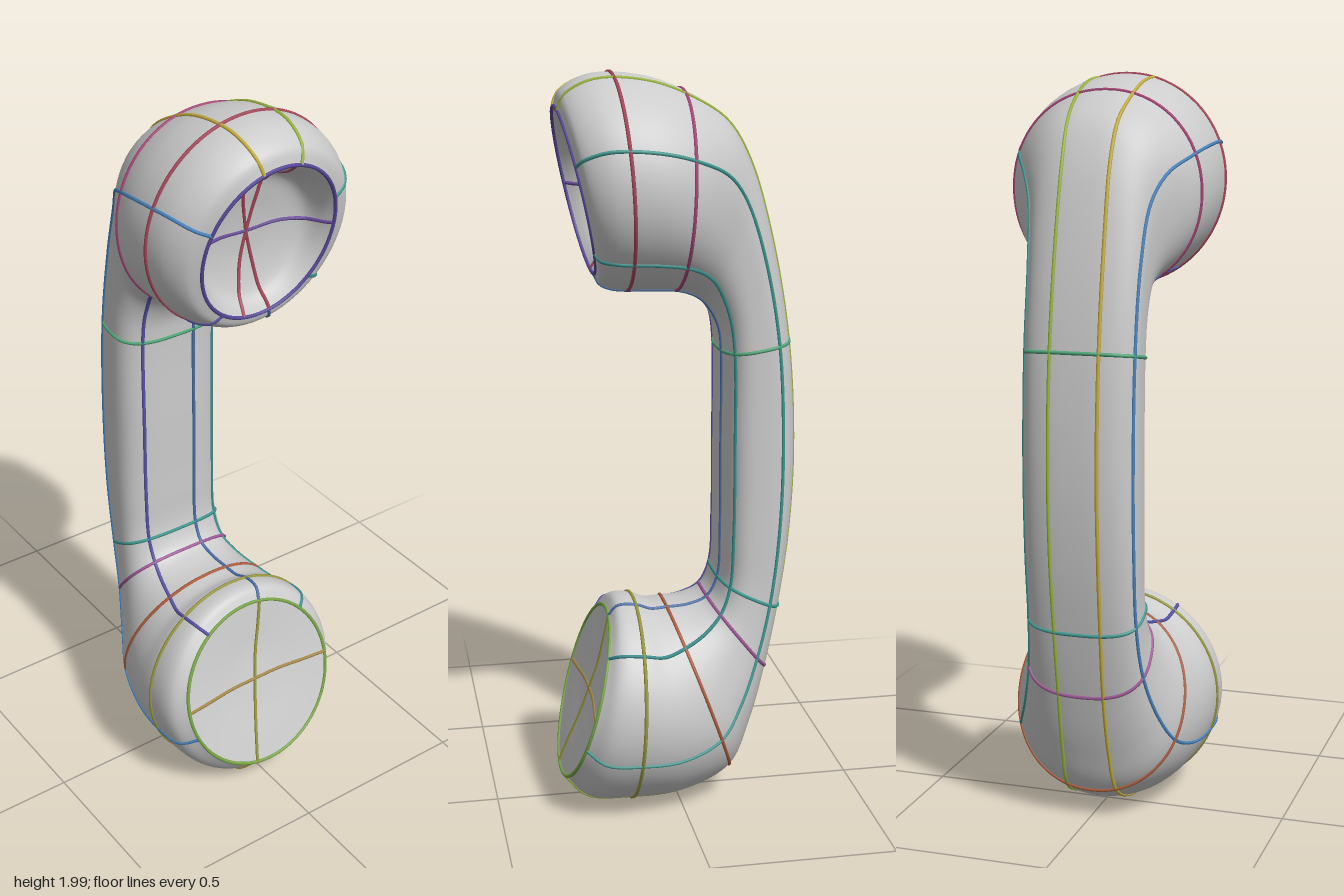
import * as THREE from 'three';

// Cross-sections: outer z, outer y, inner z, inner y, half width, roundness exponent
const BODY = [
  [0.31, 1.91, 0.215, 1.48, 0.195, 2],
  [0.295, 1.95, 0.205, 1.455, 0.236, 2],
  [0.22, 1.99, 0.17, 1.44, 0.272, 2],
  [0.08, 1.985, 0.07, 1.435, 0.278, 2],
  [-0.04, 1.94, -0.01, 1.43, 0.25, 2.1],
  [-0.13, 1.88, -0.06, 1.41, 0.206, 2.3],
  [-0.19, 1.78, -0.092, 1.375, 0.172, 2.6],
  [-0.25, 1.58, -0.113, 1.33, 0.157, 2.9],
  [-0.3, 1.3, -0.12, 1.27, 0.154, 3],
  [-0.318, 1.0, -0.12, 1.0, 0.154, 3],
  [-0.307, 0.76, -0.12, 0.78, 0.154, 3],
  [-0.28, 0.56, -0.113, 0.64, 0.155, 2.9],
  [-0.245, 0.38, -0.083, 0.585, 0.168, 2.6],
  [-0.2, 0.21, -0.03, 0.567, 0.2, 2.3],
  [-0.145, 0.085, 0.03, 0.565, 0.236, 2.1],
  [-0.01, 0.02, 0.075, 0.565, 0.266, 2],
  [0.14, 0.012, 0.115, 0.58, 0.28, 2],
  [0.26, 0.025, 0.165, 0.58, 0.272, 2],
  [0.32, 0.085, 0.188, 0.55, 0.235, 2],
];
// Hollow of the earpiece, from its middle out to the rim
const HOLLOW = [
  [0.165, 1.69, 0.165, 1.69, 0, 2],
  [0.178, 1.78, 0.165, 1.61, 0.09, 2],
  [0.2, 1.85, 0.182, 1.53, 0.155, 2],
  [0.28, 1.885, 0.203, 1.5, 0.183, 2],
  BODY[0],
];
// Nearly flat mouthpiece face, from the rim to its middle
const MOUTH = [
  BODY[BODY.length - 1],
  [0.295, 0.155, 0.2, 0.48, 0.17, 2],
  [0.263, 0.24, 0.215, 0.4, 0.08, 2],
  [0.238, 0.32, 0.238, 0.32, 0, 2],
];

// Point on one superelliptic cross-section; angle 0 is the outer (back) side.
// The squarer handle sections sit slightly to the right of centre.
function sectionPoint([zo, yo, zi, yi, w, n], a) {
  const bend = v => Math.sign(v) * Math.abs(v) ** (2 / n);
  const c = bend(Math.cos(a)) / 2;
  return new THREE.Vector3(w * bend(Math.sin(a)) - 0.009 * (n - 2),
    (yo + yi) / 2 + (yo - yi) * c, (zo + zi) / 2 + (zo - zi) * c);
}

const column = (sections, a) => new THREE.CatmullRomCurve3(sections.map(s => sectionPoint(s, a)));

// Smooth skin through the cross-sections
function loft(sections, steps, around = 64) {
  const pos = [], index = [];
  const cols = Array.from({ length: around }, (_, j) => column(sections, j / around * Math.PI * 2));
  for (let i = 0; i <= steps; i++) {
    for (let j = 0; j < around; j++) {
      pos.push(...cols[j].getPoint(i / steps).toArray());
      if (i === steps) continue;
      const a = i * around + j, b = i * around + (j + 1) % around;
      index.push(a, b, a + around, b, b + around, a + around);
    }
  }
  const g = new THREE.BufferGeometry();
  g.setAttribute('position', new THREE.Float32BufferAttribute(pos, 3));
  g.setIndex(index);
  g.computeVertexNormals();
  return g;
}

export function createModel() {
  const model = new THREE.Group();
  const grey = new THREE.MeshStandardMaterial({ color: 0xcccccc });
  const add = (name, geometry, material = grey) => {
    const mesh = new THREE.Mesh(geometry, material);
    mesh.name = name;
    model.add(mesh);
  };
  add('handsetBody', loft(BODY, 108));
  add('earpieceHollow', loft(HOLLOW, 24));
  add('mouthpieceFace', loft(MOUTH, 15));

  // Thin coloured guide lines lying on the skin
  const line = (name, curve, color, steps, closed = false) =>
    add(name, new THREE.TubeGeometry(curve, steps, 0.005, 6, closed),
      new THREE.MeshStandardMaterial({ color }));

  // Lines along the handset
  [[0.28, 0x9ab840], [-0.28, 0xc8b040], [1.2, 0x3f9a94], [-1.2, 0x4a86c0],
    [2.3, 0x3a8f8f], [-2.55, 0x5a55a8], [2.95, 0x4a70a8]]
    .forEach(([a, color]) => line('lengthLine', column(BODY, a), color, 120));

  // Lines around the handset, by section number
  [[0, 0x5a4a9c], [2.4, 0xa8485a], [3.8, 0xa8487a], [8, 0x50a878], [11, 0x3f9a94],
    [12, 0xa05a98], [14, 0xb0603f], [16, 0x9a9a40], [18, 0x7aa848]]
    .forEach(([k, color]) => {
      const pts = Array.from({ length: 48 }, (_, j) =>
        column(BODY, j / 48 * Math.PI * 2).getPoint(k / (BODY.length - 1)));
      line('aroundLine', new THREE.CatmullRomCurve3(pts, true), color, 96, true);
    });

  // Crossing lines on both faces
  const cross = (sections, a, color) => {
    const half = b => sections.filter(s => s[4] > 0).map(s => sectionPoint(s, b));
    const one = half(a), two = half(a + Math.PI);
    const middle = sectionPoint(sections.find(s => s[4] === 0), 0);
    const pts = sections[0][4] === 0
      ? [...one.reverse(), middle, ...two] : [...one, middle, ...two.reverse()];
    line('faceLine', new THREE.CatmullRomCurve3(pts), color, 40);
  };
  cross(HOLLOW, 0.2, 0xa8485a);
  cross(HOLLOW, -0.2, 0xa8485a);
  cross(HOLLOW, Math.PI / 2, 0x6a4a9c);
  cross(MOUTH, -0.2, 0x9a9a40);
  cross(MOUTH, Math.PI / 2, 0xa88a48);
  return model;
}
